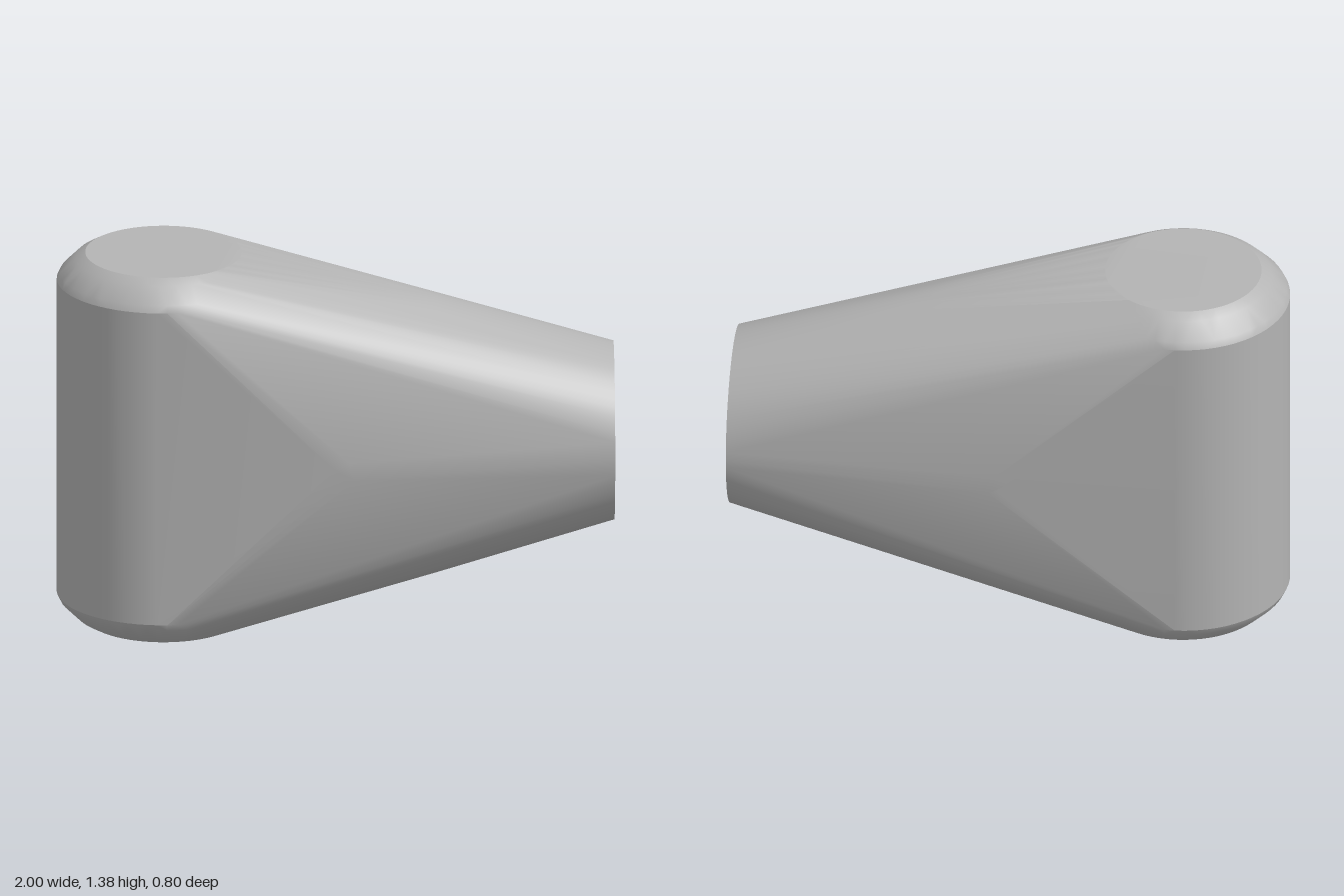
import * as THREE from 'three';
import { ConvexGeometry } from 'three/addons/geometries/ConvexGeometry.js';
import { toCreasedNormals } from 'three/addons/utils/BufferGeometryUtils.js';

const SEGMENTS = 64;
const MID_Y = 0.69;

// Collects SEGMENTS points around a loop given by a rule of the angle
function loop(rule) {
  return Array.from({ length: SEGMENTS }, (_, i) => {
    const a = (i / SEGMENTS) * Math.PI * 2;
    return new THREE.Vector3(...rule(Math.cos(a), Math.sin(a)));
  });
}

export function createModel() {
  const group = new THREE.Group();
  const grey = new THREE.MeshStandardMaterial({ color: 0xb4b4b4 });
  grey.name = 'plain grey';

  const points = [];

  // Upright column with rounded chamfers: radius and distance from mid height
  const rings = [[0.382, 0.59], [0.37, 0.615], [0.315, 0.67], [0.28, 0.69]];
  for (const [r, h] of rings) {
    for (const side of [-1, 1]) {
      points.push(...loop((c, s) => [-0.618 + r * c, MID_Y + side * h, -0.012 + r * s]));
    }
  }

  // Slight swelling halfway along the taper
  points.push(...loop((c, s) => [0.35, MID_Y + 0.518 * c, 0.355 * s]));

  // Small raised peak on each broad side
  for (const side of [-1, 1]) {
    for (const [x, y] of [[-0.02, 0.69], [0.03, 0.715], [0.05, 0.65], [0.02, 0.66]]) {
      points.push(new THREE.Vector3(x, y, side * 0.402));
    }
  }

  // Round end face, very slightly turned
  points.push(...loop((c, s) => [0.99 - 0.006 * s, MID_Y + 0.32 * c, 0.32 * s]));

  // One skin stretched over the sections, smooth except at the sharp rims
  const body = new THREE.Mesh(toCreasedNormals(new ConvexGeometry(points), 0.42), grey);
  body.name = 'taperedBody';
  group.add(body);
  return group;
}
